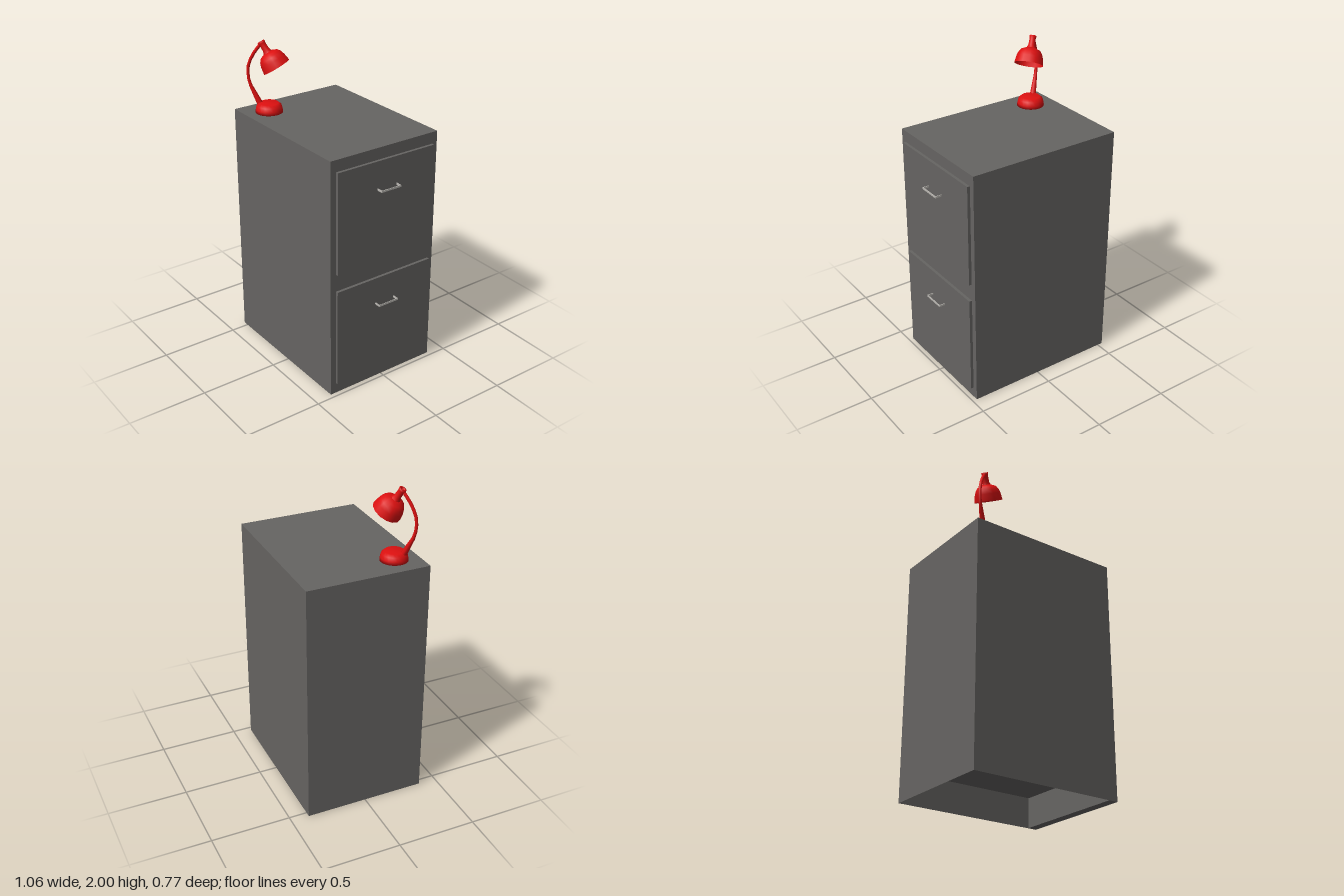
import * as THREE from 'three';

const steel = new THREE.MeshStandardMaterial({ color: 0x666462, side: THREE.DoubleSide });
const metal = new THREE.MeshStandardMaterial({ color: 0xbab7b2 });
const red = new THREE.MeshStandardMaterial({ color: 0xdd1010, side: THREE.DoubleSide });

function add(parent, name, geometry, material, x = 0, y = 0, z = 0) {
  const mesh = new THREE.Mesh(geometry, material);
  mesh.name = name;
  mesh.position.set(x, y, z);
  parent.add(mesh);
  return mesh;
}

// box given by its minimum and maximum corners
function addBox(parent, name, [x0, y0, z0], [x1, y1, z1], material) {
  return add(parent, name, new THREE.BoxGeometry(x1 - x0, y1 - y0, z1 - z0), material,
    (x0 + x1) / 2, (y0 + y1) / 2, (z0 + z1) / 2);
}

function lathe(points, sides) {
  return new THREE.LatheGeometry(points.map(([r, y]) => new THREE.Vector2(r, y)), sides);
}

function createCabinet() {
  const cabinet = new THREE.Group();
  cabinet.name = 'cabinet';

  // thin shell, open underneath
  const shell = addBox(cabinet, 'cabinetShell', [-0.535, 0, -0.385], [0.47, 1.55, 0.385], steel);
  const index = Array.from(shell.geometry.index.array);
  index.splice(18, 6);
  shell.geometry.setIndex(index);
  shell.geometry.clearGroups();

  // raised floor and the lip behind the front
  const floor = add(cabinet, 'cabinetFloor', new THREE.PlaneGeometry(1.0, 0.766), steel, -0.033, 0.195, 0);
  floor.rotation.x = Math.PI / 2;
  addBox(cabinet, 'frontLip', [0.41, 0.001, -0.384], [0.469, 0.194, 0.384], steel);

  // two drawers, each with a bent strip handle
  for (const [bottom, handleY] of [[0.07, 0.545], [0.83, 1.302]]) {
    const drawer = new THREE.Group();
    drawer.name = 'drawer';
    addBox(drawer, 'drawerFront', [0.465, bottom, -0.35], [0.488, bottom + 0.647, 0.347], steel);
    const y0 = handleY - 0.006, y1 = handleY + 0.006;
    addBox(drawer, 'handleBar', [0.525, y0, -0.075], [0.529, y1, 0.067], metal);
    for (const z of [-0.075, 0.063]) {
      addBox(drawer, 'handleEnd', [0.487, y0, z], [0.527, y1, z + 0.004], metal);
    }
    cabinet.add(drawer);
  }
  return cabinet;
}

function createLamp() {
  const lamp = new THREE.Group();
  lamp.name = 'deskLamp';

  // rounded base
  add(lamp, 'lampBase', lathe([[0, 0], [0.085, 0], [0.082, 0.02], [0.076, 0.043],
    [0.058, 0.058], [0, 0.06]], 20), red);

  // bowed arm, thicker towards the base
  const curve = new THREE.CatmullRomCurve3([[-0.055, 0.04], [-0.085, 0.1], [-0.122, 0.18],
    [-0.127, 0.275], [-0.09, 0.36], [-0.036, 0.43]].map(([x, y]) => new THREE.Vector3(x, y, 0)));
  const rings = 10, sides = 8;
  const arm = new THREE.TubeGeometry(curve, rings, 0.01, sides);
  const p = new THREE.Vector3();
  for (let i = 0; i < arm.attributes.position.count; i++) {
    const t = Math.floor(i / (sides + 1)) / rings;
    const centre = curve.getPointAt(t);
    p.fromBufferAttribute(arm.attributes.position, i).sub(centre);
    p.multiplyScalar(1 + 1.0 * Math.max(0, 1 - t * 3)).add(centre);
    arm.attributes.position.setXYZ(i, p.x, p.y, p.z);
  }
  add(lamp, 'lampArm', arm, red);

  // tilted head: hollow socket and flared shade, axis pointing down
  const head = new THREE.Group();
  head.name = 'lampHead';
  head.position.set(-0.04, 0.439, 0);
  head.rotation.z = 0.56;
  add(head, 'lampSocket', lathe([[0.03, -0.08], [0.021, -0.06], [0.019, -0.02], [0.022, -0.012],
    [0.022, 0], [0.013, 0], [0.012, -0.015], [0, -0.015]], 12), red);
  add(head, 'lampShade', lathe([[0.09, -0.178], [0.083, -0.135], [0.074, -0.11],
    [0.06, -0.09], [0.03, -0.077], [0, -0.075]], 14), red);
  lamp.add(head);

  lamp.position.set(-0.375, 1.55, 0.235);
  lamp.rotation.y = 0.67;
  return lamp;
}

export function createModel() {
  const model = new THREE.Group();
  model.name = 'filingCabinetWithLamp';
  model.add(createCabinet(), createLamp());
  return model;
}
